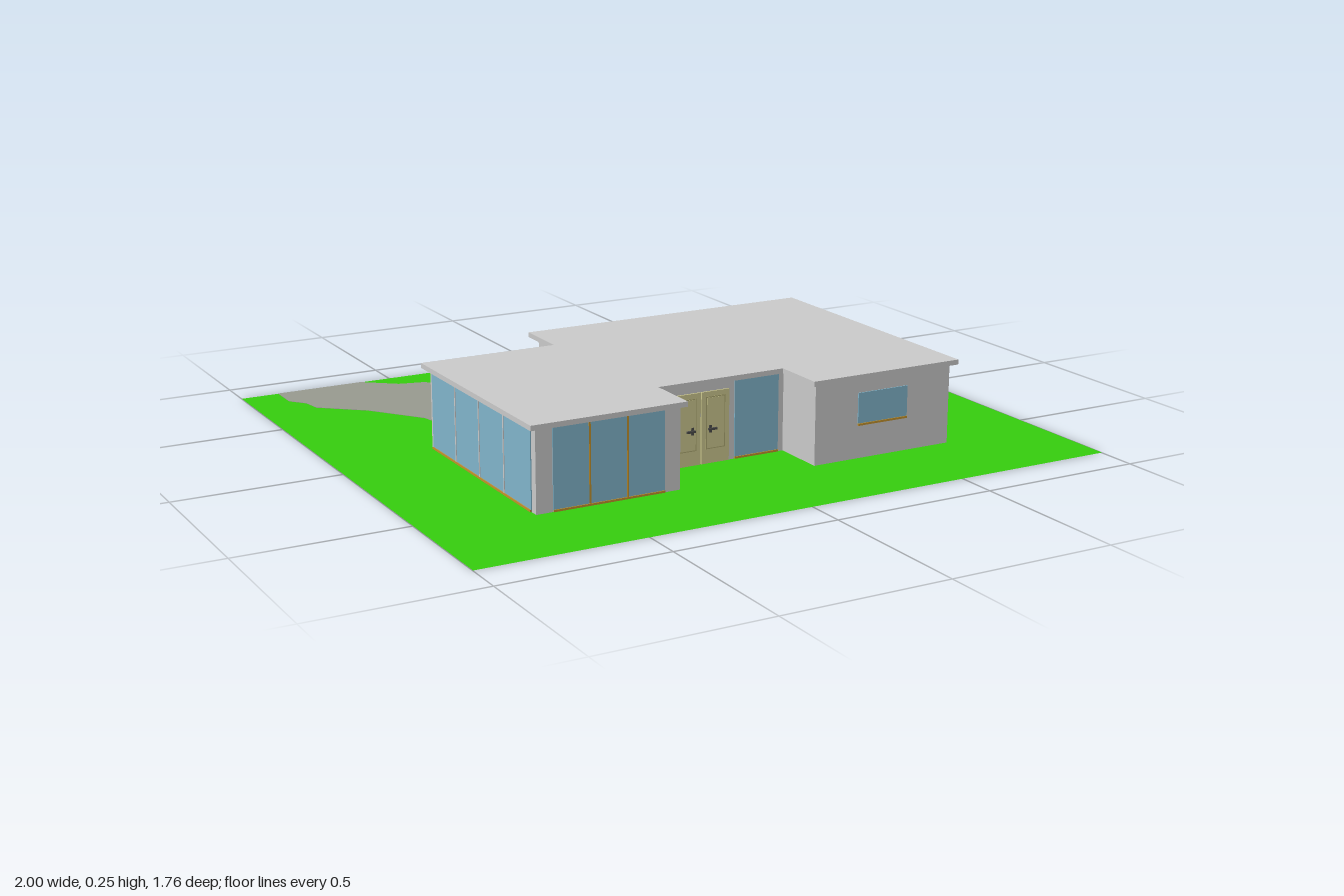
import * as THREE from 'three';

const mat = (name, color, side = THREE.FrontSide) => {
  const m = new THREE.MeshStandardMaterial({ color, side });
  m.name = name;
  return m;
};

export function createModel() {
  const grass = mat('grass green', 0x35cc0e, THREE.DoubleSide);
  const gravel = mat('gravel grey', 0x97998f);
  const wallMat = mat('wall grey', 0xc9c9c9);
  const glass = mat('glass blue', 0x80b4ca);
  const wood = mat('frame ochre', 0xc0902c);
  const doorMat = mat('door cream', 0xcbc78e);
  const trimMat = mat('door trim', 0xaba670);
  const dark = mat('dark metal', 0x4a4a48);

  const model = new THREE.Group();
  model.name = 'bungalow';

  const add = (parent, name, geometry, material) => {
    const mesh = new THREE.Mesh(geometry, material);
    mesh.name = name;
    parent.add(mesh);
    return mesh;
  };

  // Flat plan given as [x, z] points, raised from y0 to y0 + h
  const slab = (name, pts, y0, h, material) => {
    const shape = new THREE.Shape(pts.map(([x, z]) => new THREE.Vector2(x, -z)));
    const g = new THREE.ExtrudeGeometry(shape, { depth: h, bevelEnabled: false });
    g.rotateX(-Math.PI / 2).translate(0, y0, 0);
    return add(model, name, g, material);
  };

  // Lawn and the gravel path that shows on both of its faces
  const lawn = new THREE.PlaneGeometry(2, 1.76).rotateX(-Math.PI / 2).translate(0, 0.001, 0);
  add(model, 'lawn', lawn, grass);
  slab('gravelPath', [
    [-0.88, -0.88], [-0.6, -0.88], [-0.5, -0.8], [-0.42, -0.78], [-0.36, -0.72], [-0.24, -0.7],
    [-0.2, -0.66], [0, -0.69], [0.1, -0.715], [0.25, -0.705], [0.35, -0.68], [0.67, -0.685],
    [0.78, -0.705], [0.9, -0.715], [1, -0.68], [1, -0.54], [0.9, -0.575], [0.8, -0.54],
    [0.65, -0.435], [0.58, -0.455], [0.42, -0.46], [0.33, -0.45], [0.24, -0.42], [0, -0.43],
    [-0.08, -0.39], [-0.2, -0.38], [-0.3, -0.42], [-0.37, -0.38], [-0.48, -0.16], [-0.56, -0.31],
    [-0.58, -0.4], [-0.7, -0.56], [-0.83, -0.67], [-0.84, -0.73], [-0.88, -0.78],
  ], 0, 0.002, gravel);

  // Roof slab with the entrance notch and the back corner notch
  slab('roof', [
    [-0.7, 0.595], [-0.225, 0.595], [-0.225, 0.43], [0.185, 0.43], [0.185, 0.595], [0.685, 0.595],
    [0.685, -0.305], [-0.27, -0.305], [-0.27, -0.13], [-0.7, -0.13],
  ], 0.24, 0.015, wallMat);

  // Outer walls follow the plan, with their thickness kept inside it
  const H = 0.24, T = 0.015;
  const plan = [
    [-0.68, 0.58], [-0.24, 0.58], [-0.24, 0.41], [0.2, 0.41], [0.2, 0.58], [0.665, 0.58],
    [0.665, -0.275], [-0.25, -0.275], [-0.25, -0.11], [-0.68, -0.11],
  ];
  const wall = (name, [ax, az], [bx, bz]) => {
    const len = Math.hypot(bx - ax, bz - az);
    const g = new THREE.BoxGeometry(len, H, T).translate(len / 2, H / 2, -T / 2);
    const m = add(model, name, g, wallMat);
    m.position.set(ax, 0, az);
    m.rotation.y = Math.atan2(az - bz, bx - ax);
  };
  plan.forEach((p, i) => wall('outerWall', p, plan[(i + 1) % plan.length]));

  // Inner partitions
  wall('partition', [0.285, 0.22], [0.655, 0.22]);
  wall('partition', [0.2, 0.09], [0.2, -0.265]);

  // A face is a group on a wall: local x runs along it, local z points out
  const face = (name, x, z, turn) => {
    const g = new THREE.Group();
    g.name = name;
    g.position.set(x, 0, z);
    g.rotation.y = turn * Math.PI / 2;
    model.add(g);
    return g;
  };
  const plate = (parent, name, u0, u1, y0, y1, depth, material) => {
    const g = new THREE.BoxGeometry(u1 - u0, y1 - y0, depth);
    add(parent, name, g.translate((u0 + u1) / 2, (y0 + y1) / 2, depth / 2), material);
  };

  // Glass pane with a sill, optional full frame and upright bars
  const F = 0.006;
  const makeWindow = (parent, u0, u1, y0, y1, { framed = false, bars = [], barMat = wood } = {}) => {
    plate(parent, 'glassPane', u0, u1, y0, y1, 0.003, glass);
    plate(parent, 'windowSill', u0, u1, y0, y0 + F, 0.006, wood);
    if (framed) {
      plate(parent, 'windowHead', u0, u1, y1 - F, y1, 0.006, wood);
      plate(parent, 'windowJamb', u0, u0 + F, y0, y1, 0.006, wood);
      plate(parent, 'windowJamb', u1 - F, u1, y0, y1, 0.006, wood);
    }
    for (const b of bars) plate(parent, 'windowBar', b - 0.0025, b + 0.0025, y0, y1, 0.005, barMat);
  };

  // Front windows
  const front = face('frontFace', 0, 0.58, 0);
  makeWindow(front, -0.63, -0.29, 0.002, 0.238, { bars: [-0.52, -0.405] });
  makeWindow(front, 0.345, 0.515, 0.1, 0.197);

  // Recessed entrance: side glass and double door
  const entry = face('entranceFace', 0, 0.41, 0);
  makeWindow(entry, 0.035, 0.182, 0.002, 0.238);
  plate(entry, 'doorPost', -0.178, -0.17, 0.002, 0.222, 0.009, dark);
  for (const [u0, u1, knob, dir] of [[-0.17, -0.079, -0.113, 1], [-0.076, 0.015, -0.042, -1]]) {
    plate(entry, 'doorLeaf', u0, u1, 0.002, 0.215, 0.005, doorMat);
    plate(entry, 'doorPanelTrim', u0 + 0.014, u1 - 0.014, 0.045, 0.2, 0.006, trimMat);
    plate(entry, 'doorPanel', u0 + 0.017, u1 - 0.017, 0.048, 0.197, 0.007, doorMat);
    plate(entry, 'doorHandle', knob - 0.014, knob + 0.014, 0.102, 0.108, 0.014, dark);
    plate(entry, 'handlePlate', knob + dir * 0.006 - 0.004, knob + dir * 0.006 + 0.004, 0.094, 0.116, 0.009, dark);
  }

  // Right side windows (local x = -z)
  const right = face('rightFace', 0.665, 0, 1);
  makeWindow(right, -0.465, -0.325, 0.02, 0.22, { framed: true });
  makeWindow(right, -0.175, -0.035, 0.1, 0.197);
  makeWindow(right, 0.02, 0.255, 0.02, 0.22, { framed: true, bars: [0.14] });

  // Back windows (local x = -x)
  const back = face('backFace', 0, -0.275, 2);
  makeWindow(back, -0.09, 0.18, 0.1, 0.197, { bars: [0.045], barMat: dark });
  const backRecess = face('backRecessFace', 0, -0.11, 2);
  makeWindow(backRecess, 0.275, 0.67, 0.002, 0.238, { bars: [0.37, 0.47, 0.57], barMat: wallMat });

  // Left side glazing (local x = z)
  const left = face('leftFace', -0.68, 0, -1);
  makeWindow(left, -0.095, 0.555, 0.002, 0.238, { bars: [0.07, 0.23, 0.39], barMat: wallMat });

  return model;
}
